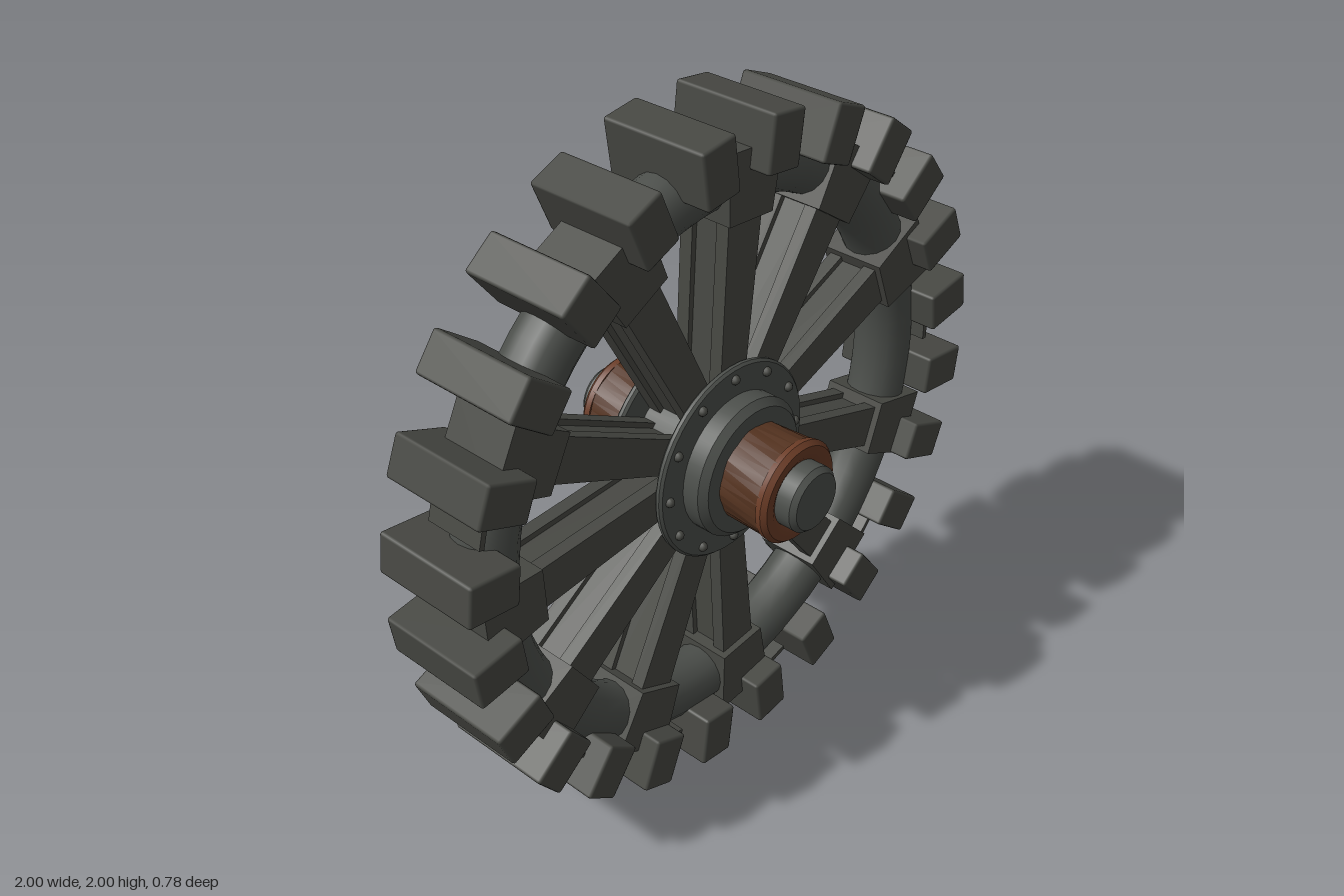
import * as THREE from 'three';
import { toCreasedNormals } from 'three/addons/utils/BufferGeometryUtils.js';
import { RoundedBoxGeometry } from 'three/addons/geometries/RoundedBoxGeometry.js';

const mat = (name, color) => {
  const m = new THREE.MeshStandardMaterial({ color });
  m.name = name;
  return m;
};
const iron = mat('dark iron', 0x474843);
const steel = mat('worn steel', 0x4c4f4b);
const wood = mat('dark wood', 0x53321f);
const rust = mat('rust brown', 0x6b3c26);

// Box from y0 to y1 whose width changes from w0 to w1
function taperedBox(w0, w1, y0, y1, depth) {
  const g = new THREE.BoxGeometry(1, y1 - y0, depth);
  g.translate(0, (y0 + y1) / 2, 0);
  const p = g.attributes.position;
  for (let i = 0; i < p.count; i++) {
    p.setX(i, p.getX(i) * (p.getY(i) > (y0 + y1) / 2 ? w1 : w0));
  }
  g.computeVertexNormals();
  return g;
}

// Solid turned around the z axis from [radius, z] points
function turned(points, segments) {
  const g = new THREE.LatheGeometry(points.map(([r, z]) => new THREE.Vector2(r, z)), segments);
  g.rotateX(Math.PI / 2);
  return toCreasedNormals(g, 0.6);
}

export function createModel() {
  const model = new THREE.Group();
  model.name = 'spokedWheel';
  const wheel = new THREE.Group();
  wheel.name = 'wheel';
  wheel.position.y = 1;
  model.add(wheel);

  const add = (parent, name, geometry, material) => {
    const m = new THREE.Mesh(geometry, material);
    m.name = name;
    parent.add(m);
    return m;
  };
  // Group turned clockwise from the top by a number of degrees
  const spun = (name, degrees) => {
    const g = new THREE.Group();
    g.name = name;
    g.rotation.z = -THREE.MathUtils.degToRad(degrees);
    wheel.add(g);
    return g;
  };

  // Rim
  add(wheel, 'rim', new THREE.TorusGeometry(0.812, 0.087, 16, 64), steel);

  // Tread blocks
  const blockGeo = new RoundedBoxGeometry(0.118, 0.16, 0.325, 1, 0.008);
  blockGeo.translate(0, 0.92, 0);
  for (let i = 0; i < 24; i++) add(spun('treadBlock', 7.5 + i * 15), 'block', blockGeo, iron);

  // Loose plates between some blocks
  const plateGeo = new THREE.BoxGeometry(0.065, 0.016, 0.18);
  plateGeo.translate(0, 0.905, 0);
  for (const a of [30, 47, 90, 133, 165, 195, 223, 285]) add(spun('rimPlate', a), 'plate', plateGeo, iron);

  // Unevenly set spokes: two flanges on a narrower web, clamped to the rim
  const flangeGeo = taperedBox(0.095, 0.13, 0.15, 0.76, 0.04);
  const webGeo = taperedBox(0.065, 0.095, 0.15, 0.76, 0.1);
  const clampGeo = taperedBox(0.165, 0.205, 0.705, 0.9, 0.2);
  for (const a of [5, 35, 69, 110, 141, 175.5, 205, 236, 267, 297, 333]) {
    const spoke = spun('spoke', a);
    add(spoke, 'spokeWeb', webGeo, iron);
    for (const s of [1, -1]) add(spoke, 'spokeFlange', flangeGeo, iron).position.z = s * 0.06;
    add(spoke, 'rimClamp', clampGeo, iron);
  }

  // Hub core and axle
  add(wheel, 'hubCore', turned([[0, -0.175], [0.185, -0.175], [0.205, -0.155], [0.205, 0.155], [0.185, 0.175], [0, 0.175]], 40), steel);
  add(wheel, 'axle', turned([[0, -0.39], [0.083, -0.39], [0.096, -0.375], [0.096, 0.375], [0.083, 0.39], [0, 0.39]], 28), steel);

  // Both hub ends: flange with bolts, wooden collar and its end ring
  const hubFlange = turned([[0, -0.012], [0.285, -0.012], [0.292, -0.005], [0.292, 0.005], [0.285, 0.012], [0, 0.012]], 48);
  const boltGeo = new THREE.SphereGeometry(0.014, 10, 6);
  const collar = new THREE.CylinderGeometry(0.146, 0.138, 0.15, 36, 1);
  collar.rotateX(Math.PI / 2);
  const p = collar.attributes.position;
  // Rough, split wood grain
  for (let i = 0; i < p.count; i++) {
    const k = 1 + 0.02 * Math.sin(9 * Math.atan2(p.getY(i), p.getX(i)) + 20 * p.getZ(i));
    p.setXY(i, p.getX(i) * k, p.getY(i) * k);
  }
  const collarGeo = toCreasedNormals(collar, 0.2);
  const endRing = turned([[0.09, 0.305], [0.148, 0.305], [0.15, 0.322], [0.138, 0.336], [0.112, 0.336], [0.094, 0.326]], 40);
  for (const side of [0, Math.PI]) {
    const end = new THREE.Group();
    end.name = side ? 'backHub' : 'frontHub';
    end.rotation.y = side;
    wheel.add(end);
    add(end, 'hubFlange', hubFlange, steel).position.z = 0.092;
    for (let i = 0; i < 12; i++) {
      const t = i * Math.PI / 6;
      add(end, 'bolt', boltGeo, iron).position.set(0.258 * Math.sin(t), 0.258 * Math.cos(t), 0.106);
    }
    add(end, 'collar', collarGeo, wood).position.z = 0.24;
    add(end, 'collarRing', endRing, rust);
  }
  return model;
}
